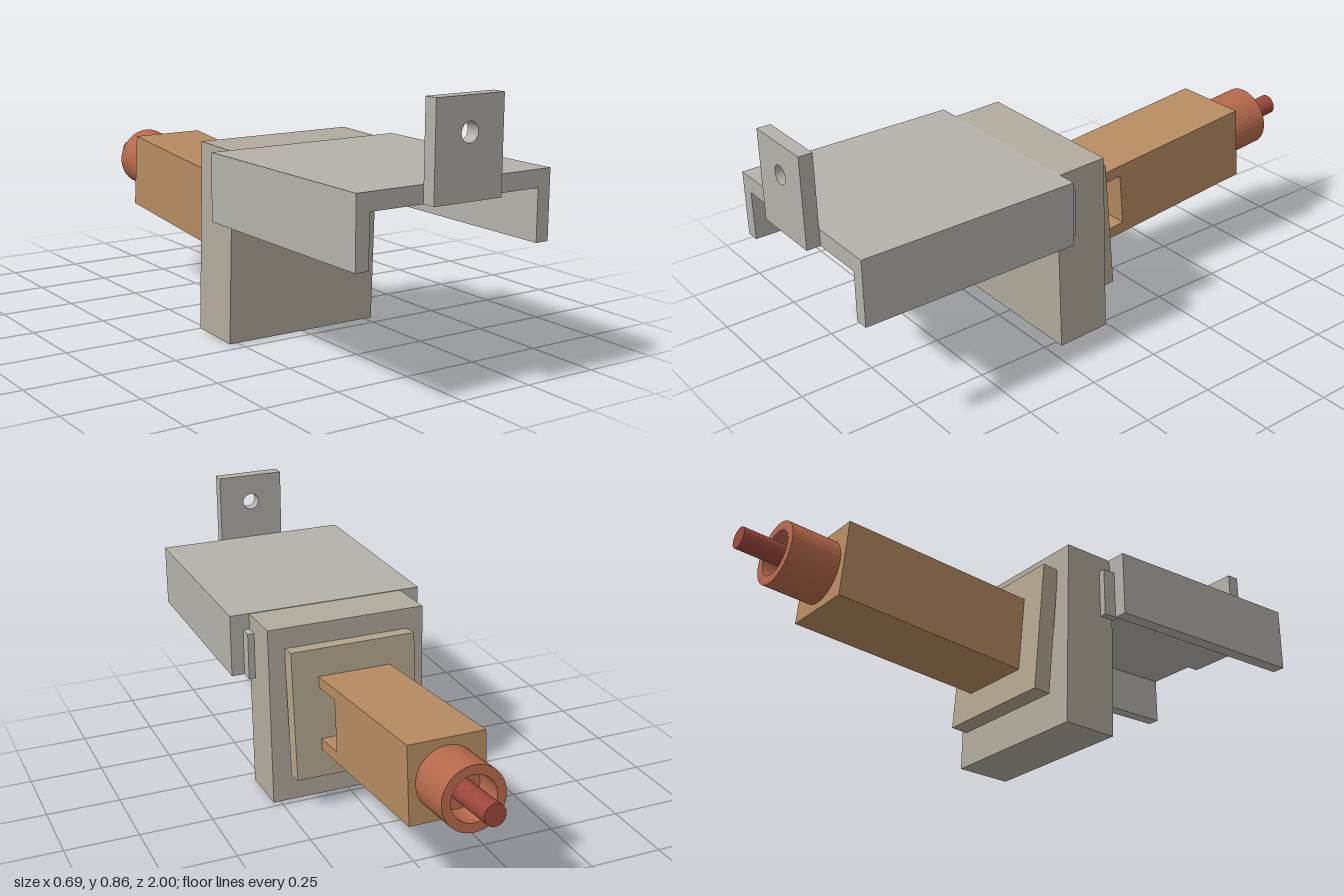
import * as THREE from 'three';

const steel = 0xb4b1aa, warmSteel = 0xb1aa9d, sand = 0xb3a58e, bronze = 0xb58a60, copper = 0xb4684a, red = 0x9c473c;

function add(parent, name, geometry, color, x = 0, y = 0, z = 0) {
  const mesh = new THREE.Mesh(geometry, new THREE.MeshStandardMaterial({ color }));
  mesh.name = name;
  mesh.position.set(x, y, z);
  parent.add(mesh);
  return mesh;
}

const box = (w, h, d) => new THREE.BoxGeometry(w, h, d);

const polygon = (points) => new THREE.Shape(points.map(([x, y]) => new THREE.Vector2(x, y)));

const extrude = (shape, depth) =>
  new THREE.ExtrudeGeometry(shape, { depth, bevelEnabled: false, curveSegments: 24 });

export function createModel() {
  const model = new THREE.Group();
  model.name = 'bracketWithProbe';

  // Upright block, leaning slightly forward
  const block = add(model, 'uprightBlock', box(0.555, 0.622, 0.187), warmSteel, 0, 0.315, 0.118);
  block.rotation.x = 0.033;

  // Cover: a channel open underneath and at both ends
  const channel = polygon([
    [-0.345, 0.408], [-0.3, 0.408], [-0.3, 0.57], [0.3, 0.57],
    [0.3, 0.408], [0.345, 0.408], [0.345, 0.625], [-0.345, 0.625],
  ]);
  add(model, 'cover', extrude(channel, 0.745), steel, 0, 0, 0.21);

  // Clips between the cover walls and the block
  for (const side of [-1, 1]) {
    add(model, side > 0 ? 'leftClip' : 'rightClip', box(0.045, 0.162, 0.055), steel, side * 0.2775, 0.489, 0.1925);
  }

  // Upright tab with a round hole
  const tab = polygon([[-0.12, 0.57], [0.12, 0.57], [0.12, 0.865], [-0.12, 0.865]]);
  tab.holes.push(new THREE.Path().absarc(0, 0.763, 0.03, 0, Math.PI * 2, true));
  add(model, 'frontTab', extrude(tab, 0.045), steel, 0, 0, 0.955);

  // Tilted assembly running backwards along its own -z axis
  const probe = new THREE.Group();
  probe.name = 'probe';
  probe.position.set(0, 0.338, -0.015);
  probe.rotation.x = 0.096;
  model.add(probe);

  add(probe, 'flange', box(0.44, 0.447, 0.058), sand);

  // Arm: solid bar, with a rounded slot open to the left beside the flange
  const h = 0.128, r = 0.09;
  const slotted = new THREE.Shape();
  slotted.moveTo(h, -r);
  slotted.lineTo(0, -r);
  slotted.absarc(0, 0, r, -Math.PI / 2, Math.PI / 2, true);
  slotted.lineTo(h, r);
  slotted.lineTo(h, h);
  slotted.lineTo(-h, h);
  slotted.lineTo(-h, -h);
  slotted.lineTo(h, -h);
  add(probe, 'slottedArmEnd', extrude(slotted, 0.131), bronze, 0, 0, -0.16);
  add(probe, 'arm', box(2 * h, 2 * h, 0.54), bronze, 0, 0, -0.43);

  // Hollow barrel with a recessed floor
  const ring = new THREE.Shape().absarc(0, 0, 0.104, 0, Math.PI * 2);
  ring.holes.push(new THREE.Path().absarc(0, 0, 0.074, 0, Math.PI * 2, true));
  add(probe, 'barrel', extrude(ring, 0.165), copper, 0, 0, -0.865);
  const floor = add(probe, 'barrelFloor', new THREE.CylinderGeometry(0.075, 0.075, 0.06, 32), copper, 0, 0, -0.73);
  floor.rotation.x = Math.PI / 2;

  // Centre pin
  const pin = add(probe, 'pin', new THREE.CylinderGeometry(0.035, 0.035, 0.247, 32), red, 0, 0, -0.8635);
  pin.rotation.x = Math.PI / 2;

  return model;
}
